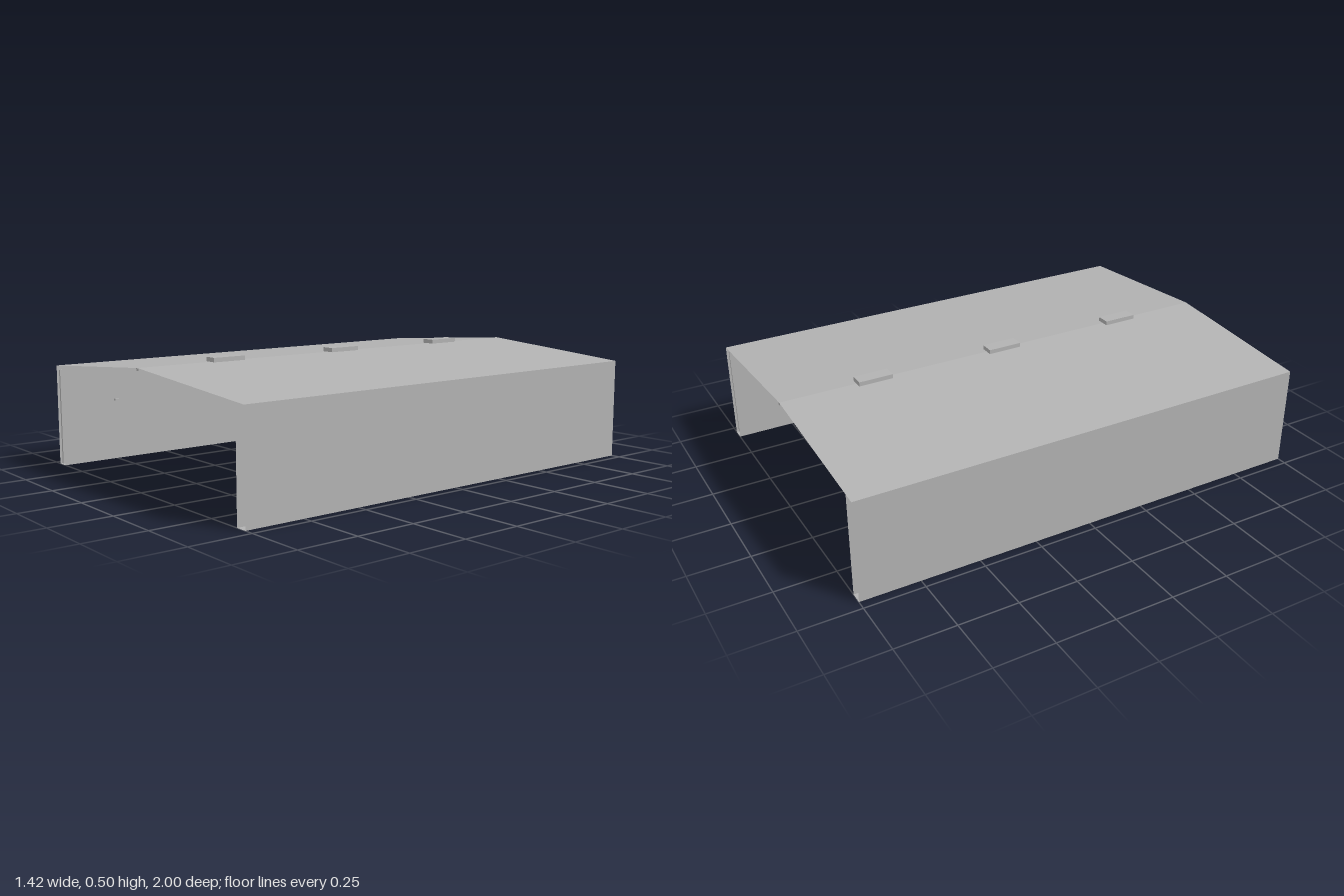
import * as THREE from 'three';

export function createModel() {
  const model = new THREE.Group();
  model.name = 'longShed';

  const grey = new THREE.MeshStandardMaterial({ color: 0xb2b2b2, side: THREE.DoubleSide });
  grey.name = 'grey';

  const L = 2, outer = 0.71, inner = 0.66, eave = 0.43, ridge = 0.485;

  const box = (name, w, h, d, x, y, z = 0) => {
    const mesh = new THREE.Mesh(new THREE.BoxGeometry(w, h, d), grey);
    mesh.name = name;
    mesh.position.set(x, y, z);
    model.add(mesh);
  };

  // Thin sheet spanning the whole length between two points of the end section
  const sheet = (name, [x1, y1], [x2, y2]) => {
    const geo = new THREE.PlaneGeometry(Math.hypot(x2 - x1, y2 - y1), L);
    geo.rotateX(-Math.PI / 2);
    geo.rotateZ(Math.atan2(y2 - y1, x2 - x1));
    geo.translate((x1 + x2) / 2, (y1 + y2) / 2, 0);
    const mesh = new THREE.Mesh(geo, grey);
    mesh.name = name;
    model.add(mesh);
  };

  const innerTop = eave + (ridge - eave) * (1 - inner / outer);
  for (const s of [1, -1]) {
    const side = s > 0 ? 'left' : 'right';
    // Roof slope and the hollow, open-ended side wall beneath it
    // (points run so that normals face outwards)
    if (s > 0) sheet('leftRoof', [0, ridge], [outer, eave]);
    else sheet('rightRoof', [-outer, eave], [0, ridge]);
    sheet(side + 'OuterWall', [s * outer, s > 0 ? eave : 0], [s * outer, s > 0 ? 0 : eave]);
    sheet(side + 'InnerWall', [s * inner, s > 0 ? 0 : innerTop], [s * inner, s > 0 ? innerTop : 0]);
    sheet(side + 'WallBase', [outer * s, 0], [inner * s, 0]);

    // Lining panel inside the wall cavity
    box(side + 'WallLining', 0.01, 0.41, 1.98, s * 0.704, 0.205);

    // Small fittings along the inner wall
    for (const z of [-0.75, -0.25, 0.25, 0.75])
      box(side + 'WallFitting', 0.012, 0.009, 0.02, s * 0.651, 0.266, z);
  }

  // Ridge beam, cross ties and roof vents
  box('ridgeBeam', 0.018, 0.01, L, 0, 0.479);
  for (const z of [-0.5, 0, 0.5]) box('crossTie', inner * 2, 0.012, 0.012, 0, 0.397, z);
  for (const z of [-0.6, 0, 0.6]) box('roofVent', 0.058, 0.018, 0.148, 0, 0.494, z);

  return model;
}
